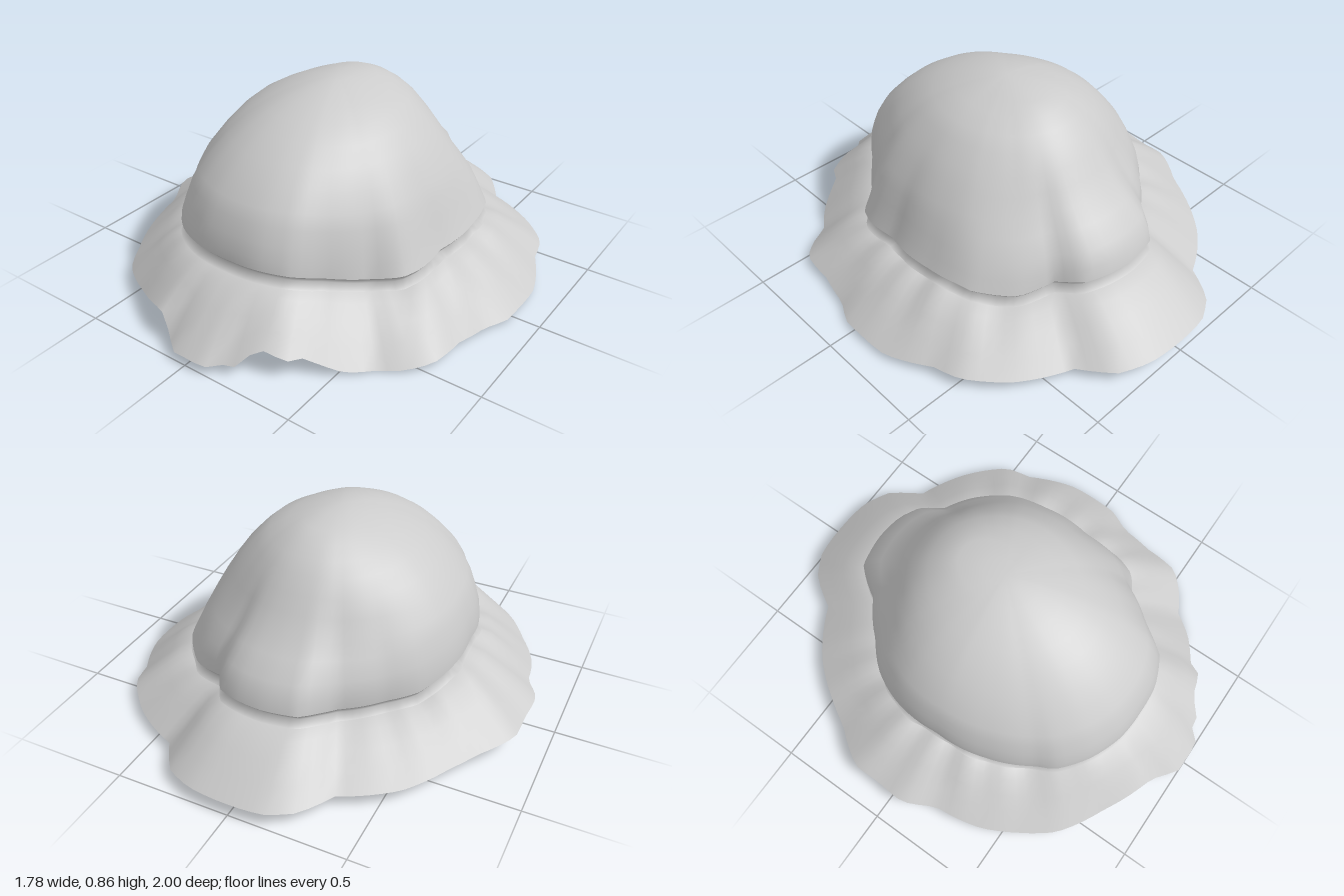
import * as THREE from 'three';

const SEGMENTS = 120;
const TAU = Math.PI * 2;

// Outlines as [x, z, y], running from the front towards +x and round.
const RIM = [
  [0, 1, .04], [.1, 1, .04], [.14, .95, .04], [.2, .94, .05], [.26, .87, .12], [.37, .84, .09],
  [.4, .78, .08], [.53, .7, .02], [.61, .6, 0], [.7, .55, .01], [.78, .47, .03], [.8, .3, .03],
  [.83, .15, .015], [.88, .05, .015], [.885, -.05, .02], [.88, -.2, .02], [.79, -.4, .04],
  [.76, -.52, .05], [.62, -.67, .04], [.4, -.79, .04], [.3, -.93, .05], [.18, -.985, .06],
  [0, -1, .06], [-.15, -.99, .06], [-.26, -.93, .06], [-.35, -.79, .06], [-.57, -.65, .06],
  [-.7, -.48, .08], [-.77, -.36, .08], [-.88, -.2, .09], [-.88, -.07, .09], [-.89, .07, .1],
  [-.82, .2, .08], [-.78, .41, .045], [-.7, .56, .035], [-.6, .7, .045], [-.4, .82, .075],
  [-.2, .91, .12], [-.13, .94, .05], [-.06, 1, .04],
];
const LIP = [
  [0, .72, .325], [.13, .71, .325], [.25, .66, .315], [.33, .55, .28], [.45, .4, .24],
  [.55, .33, .25], [.58, .25, .255], [.58, .1, .265], [.6, 0, .27], [.595, -.15, .27],
  [.57, -.3, .27], [.55, -.36, .26], [.43, -.5, .245], [.28, -.56, .27], [.22, -.66, .29],
  [.13, -.7, .3], [0, -.715, .3], [-.15, -.69, .3], [-.2, -.63, .29], [-.25, -.55, .27],
  [-.4, -.42, .27], [-.5, -.33, .28], [-.57, -.18, .31], [-.585, .05, .33], [-.55, .28, .3],
  [-.45, .48, .28], [-.42, .55, .29], [-.3, .65, .315], [-.15, .71, .325],
];

// Radius and height of an outline at an angle.
function outline(points) {
  const keys = points.map(([x, z, y]) => ({ a: (Math.atan2(x, z) + TAU) % TAU, r: Math.hypot(x, z), y }))
    .sort((p, q) => p.a - q.a);
  keys.push({ ...keys[0], a: keys[0].a + TAU });
  return (angle) => {
    const i = Math.max(1, keys.findIndex((k) => k.a > angle));
    const p = keys[i - 1], q = keys[i];
    const t = (angle - p.a) / (q.a - p.a);
    return { r: p.r + (q.r - p.r) * t, y: p.y + (q.y - p.y) * t };
  };
}

// Surface through closed rings listed from bottom to top, with an optional top point.
function ringSurface(rings, apex) {
  const positions = [], index = [];
  rings.forEach((ring) => {
    for (let j = 0; j < SEGMENTS; j++) {
      const a = (j / SEGMENTS) * TAU, { r, y } = ring(a);
      positions.push(r * Math.sin(a), y, r * Math.cos(a));
    }
  });
  if (apex) positions.push(...apex);
  const top = rings.length * SEGMENTS;
  for (let i = 0; i < rings.length; i++) {
    for (let j = 0; j < SEGMENTS; j++) {
      const k = (j + 1) % SEGMENTS;
      const a = i * SEGMENTS + j, b = i * SEGMENTS + k;
      if (i < rings.length - 1) index.push(a, b, b + SEGMENTS, a, b + SEGMENTS, a + SEGMENTS);
      else if (apex) index.push(a, b, top);
    }
  }
  const geometry = new THREE.BufferGeometry();
  geometry.setAttribute('position', new THREE.Float32BufferAttribute(positions, 3));
  geometry.setIndex(index);
  geometry.computeVertexNormals();
  return geometry;
}

export function createModel() {
  const hat = new THREE.Group();
  hat.name = 'floppyHat';
  const cloth = new THREE.MeshStandardMaterial({ color: 0xcccccc, side: THREE.DoubleSide });
  cloth.name = 'light grey cloth';
  const add = (name, geometry) => {
    const mesh = new THREE.Mesh(geometry, cloth);
    mesh.name = name;
    hat.add(mesh);
  };

  const rim = outline(RIM), lip = outline(LIP);

  // Gathered seam under the crown, with creases strongest at the sides
  const seam = (a) => {
    const { r, y } = lip(a);
    const crease = Math.sin(a * 17) * Math.sin(a * 7 + 1) * Math.sin(a) ** 2;
    return { r: r + .005 + crease * .012, y: y - .055 + crease * .014 };
  };
  const tuck = (a) => ({ r: lip(a).r * .955, y: lip(a).y - .035 });

  // Brim: steep outside, flatter near the seam
  const brim = [[0, 0], [.3, .36], [.55, .64], [.8, .9], [1, 1]].map(([s, h]) => (a) => {
    const o = rim(a), i = seam(a);
    return { r: o.r + (i.r - o.r) * s, y: o.y + (i.y - o.y) * h };
  });
  add('brim', ringSurface(brim));

  // Fold tucked beneath the crown's edge
  add('crownFold', ringSurface([seam, tuck, lip]));

  // Crown rows: height, then width towards the front, the left side and the back
  const rows = [
    [0, 1, 1, 1], [.09, .995, .96, .98], [.2, .97, .92, .93], [.32, .935, .875, .83],
    [.42, .89, .83, .745], [.55, .8, .755, .665], [.66, .71, .68, .6], [.77, .59, .58, .53],
    [.85, .47, .49, .46], [.92, .34, .35, .38], [.97, .2, .2, .29], [.993, .09, .09, .14],
  ];
  const crown = rows.map(([t, front, left, back]) => (a) => {
    const edge = lip(a);
    const oval = 1 / Math.hypot(Math.sin(a) / .59, Math.cos(a) / .72);
    const wl = Math.max(0, Math.sin(a)) ** 2, wb = Math.max(0, -Math.cos(a)) ** 2;
    const width = front + (left - front) * wl + (back - front) * wb;
    const blend = Math.min(1, t * 1.4);
    return { r: (edge.r + (oval - edge.r) * blend) * width, y: edge.y + (.857 - edge.y) * t };
  });
  add('crown', ringSurface(crown, [0, .857, 0]));

  return hat;
}
